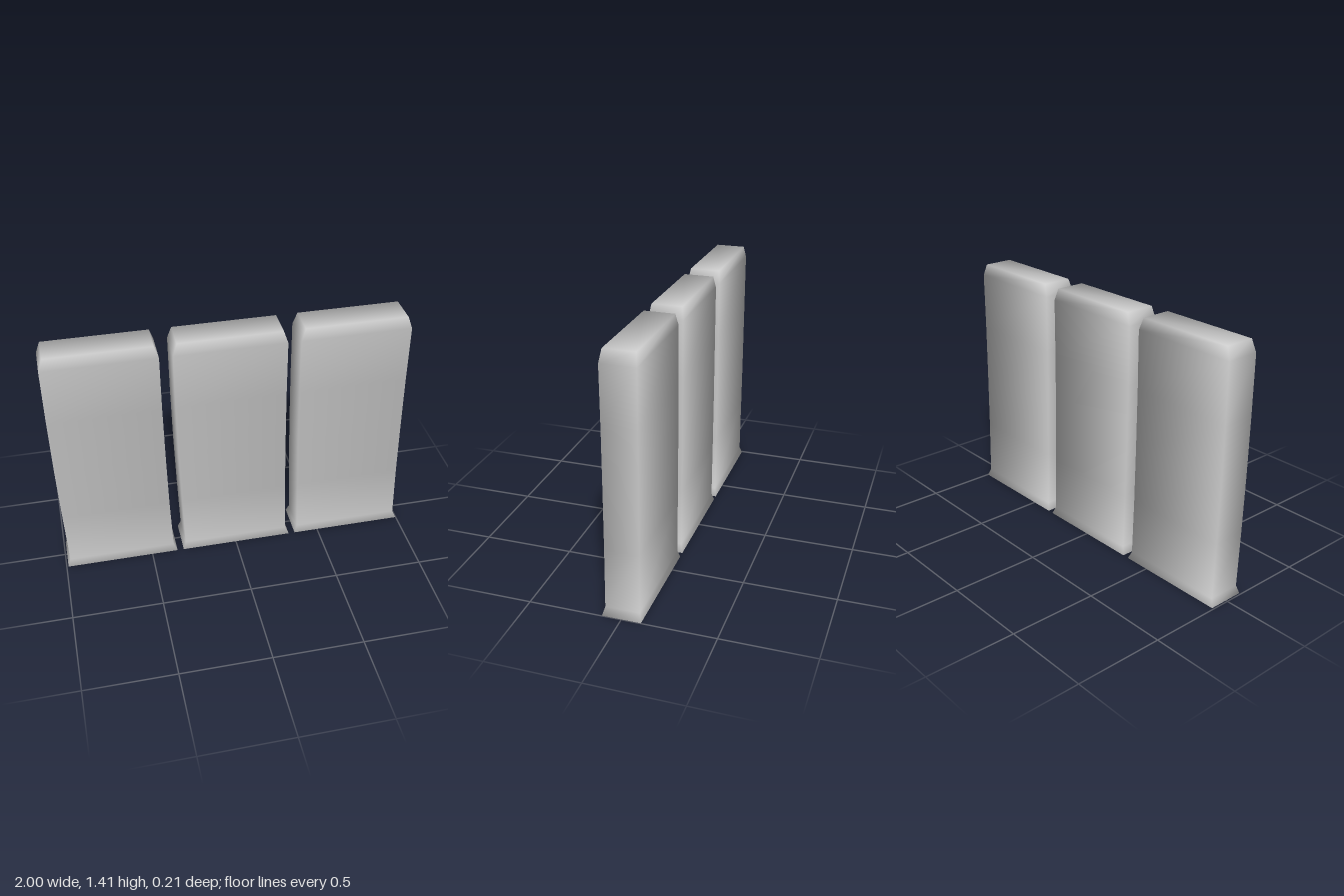
import * as THREE from 'three';

// Cross-sections from bottom to top: height, half width, half depth, vertical tilt of the normal
const SECTIONS = [
  [0, 0.319, 0.104, -0.2],
  [0.045, 0.301, 0.092, 0.35],
  [0.37, 0.301, 0.092, 0],
  [0.69, 0.302, 0.092, 0],
  [1.02, 0.302, 0.092, 0],
  [1.343, 0.302, 0.093, 0.2],
  [1.41, 0.279, 0.083, 1.4],
];
const HEIGHT = 1.41;
const CORNERS = [[-1, 1], [1, 1], [1, -1], [-1, -1]];

// Sideways lean, curving gently towards the foot
const lean = (y) => -0.026 + 0.03 * (1 - y / HEIGHT) ** 2;

// Softly shaded slab with a flared foot and a bevelled top
function slabGeometry() {
  const positions = [], normals = [], index = [];
  SECTIONS.forEach(([y, hw, hd, tilt], i) => {
    CORNERS.forEach(([sx, sz], k) => {
      positions.push(sx * hw + lean(y), y, sz * hd);
      normals.push(...new THREE.Vector3(sx, tilt, sz).normalize().toArray());
      if (i === SECTIONS.length - 1) return;
      const a = i * 4 + k, b = i * 4 + (k + 1) % 4;
      index.push(a, b, b + 4, a, b + 4, a + 4);
    });
  });
  // Closed bottom and top
  const t = (SECTIONS.length - 1) * 4;
  index.push(0, 2, 1, 0, 3, 2, t, t + 1, t + 2, t, t + 2, t + 3);

  const geometry = new THREE.BufferGeometry();
  geometry.setAttribute('position', new THREE.Float32BufferAttribute(positions, 3));
  geometry.setAttribute('normal', new THREE.Float32BufferAttribute(normals, 3));
  geometry.setIndex(index);
  return geometry;
}

export function createModel() {
  const group = new THREE.Group();
  group.name = 'slabRow';
  const geometry = slabGeometry();
  const material = new THREE.MeshStandardMaterial({ color: 0xcccccc });

  // Three equal slabs side by side
  ['rightSlab', 'middleSlab', 'leftSlab'].forEach((name, i) => {
    const slab = new THREE.Mesh(geometry, material);
    slab.name = name;
    slab.position.x = (i - 1) * 0.675;
    group.add(slab);
  });
  return group;
}
